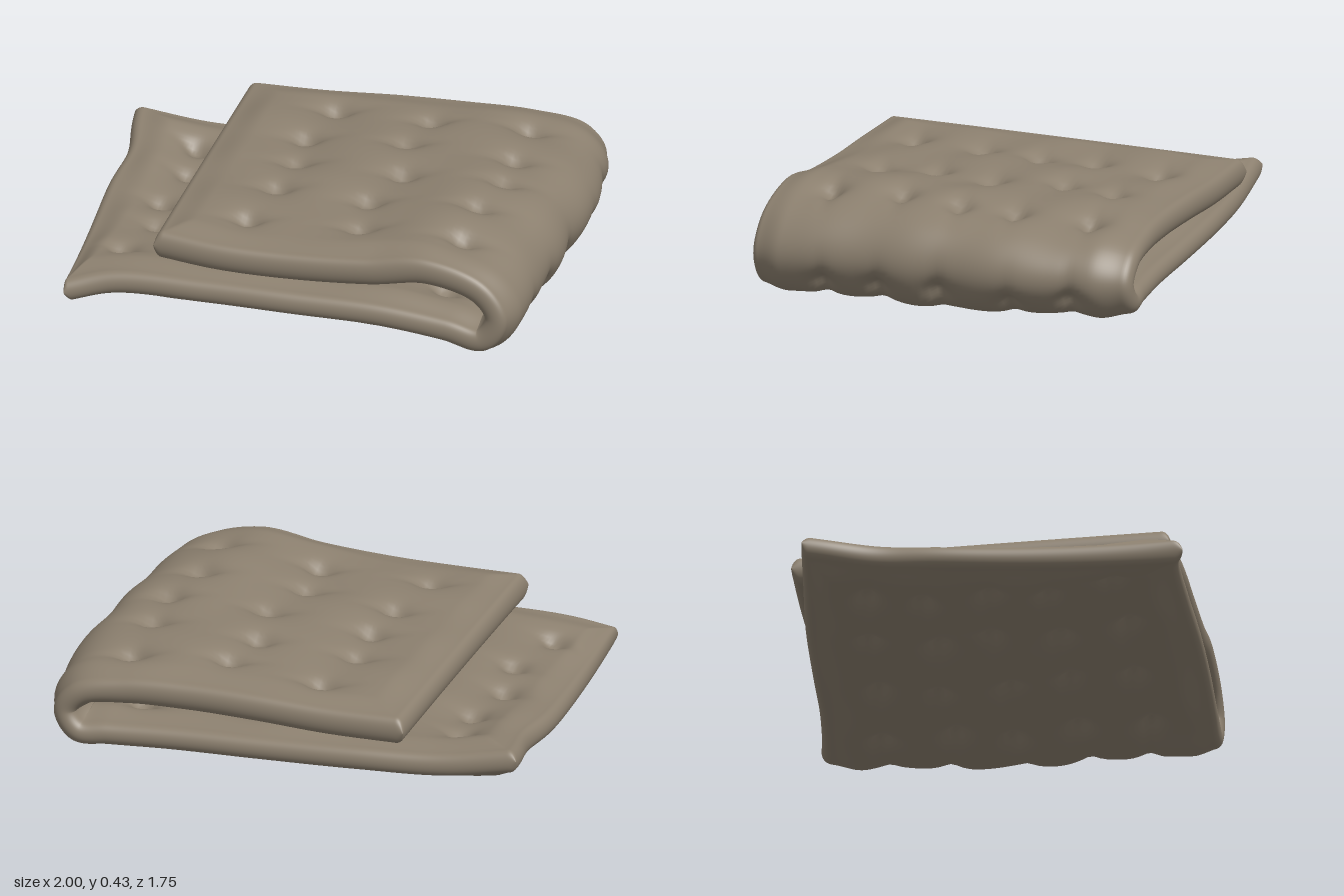
import * as THREE from 'three';
import { mergeVertices } from 'three/addons/utils/BufferGeometryUtils.js';

// Mid-surface of the folded sheet: each curve runs from the lower left hem,
// around the fold on the right, back to the upper left hem.
const curve = (pts) => new THREE.CatmullRomCurve3(pts.map((p) => new THREE.Vector3(...p)));

const backHem = curve([
  [-1, 0.185, -0.61], [-0.7, 0.135, -0.66], [-0.35, 0.125, -0.72], [0.05, 0.12, -0.77],
  [0.4, 0.115, -0.81], [0.65, 0.11, -0.85], [0.77, 0.11, -0.875], [0.82, 0.19, -0.875],
  [0.76, 0.265, -0.87], [0.57, 0.295, -0.84], [0.32, 0.3, -0.81], [0.05, 0.295, -0.79],
  [-0.25, 0.28, -0.765], [-0.57, 0.28, -0.735]]);
const middle = curve([
  [-0.905, 0.115, 0.08], [-0.6, 0.1, 0.06], [-0.25, 0.11, 0.04], [0.1, 0.1, 0.02],
  [0.45, 0.105, 0], [0.72, 0.09, -0.02], [0.86, 0.095, -0.02], [0.915, 0.19, -0.02],
  [0.86, 0.285, -0.02], [0.66, 0.345, -0.02], [0.42, 0.335, -0.01], [0.1, 0.318, 0],
  [-0.2, 0.307, 0], [-0.515, 0.3, 0]]);
const frontHem = curve([
  [-0.79, 0.115, 0.87], [-0.62, 0.16, 0.82], [-0.25, 0.163, 0.79], [0.1, 0.16, 0.77],
  [0.45, 0.15, 0.74], [0.72, 0.115, 0.715], [0.87, 0.085, 0.705], [0.93, 0.18, 0.7],
  [0.86, 0.285, 0.7], [0.64, 0.35, 0.71], [0.4, 0.317, 0.725], [0.1, 0.3, 0.745],
  [-0.2, 0.302, 0.76], [-0.46, 0.32, 0.75]]);

// Point on the mid-surface, u in 0..1 around the fold, v in -1..1 back to front
function mid(u, v) {
  const p = backHem.getPoint(u).multiplyScalar(v * (v - 1) / 2)
    .addScaledVector(middle.getPoint(u), 1 - v * v)
    .addScaledVector(frontHem.getPoint(u), v * (v + 1) / 2);
  // Shift just inside the back corners, which leaves them pointed
  p.x += Math.exp(-(((v + 0.55) / 0.25) ** 2))
    * (0.03 * Math.exp(-25 * u) + 0.025 * Math.exp(-(((u - 0.54) / 0.08) ** 2)));
  return p;
}

function normalAt(u, v) {
  const e = 0.004;
  const du = mid(Math.min(u + e, 1), v).sub(mid(Math.max(u - e, 0), v));
  const dv = mid(u, Math.min(v + e, 1)).sub(mid(u, Math.max(v - e, -1)));
  return du.cross(dv).normalize();
}

// Quilting stitches: columns along the fold (position, shift), five rows in each
const columns = [[0.9, 0.09], [2.05, 0.07], [3.25, 0.05], [4.6, 0.03],
  [6.35, 0.01], [8.85, 0.04], [10.45, 0.05], [11.8, 0.05]];
const stitches = [];
columns.forEach(([c, shift], i) => {
  [-0.74, -0.42, -0.1, 0.23, 0.58].forEach((row, k) => {
    const u = (c + 0.1 * Math.sin(i * 5.1 + k * 2.7)) / 13;
    stitches.push(mid(u, row + shift + 0.025 * Math.sin(i * 3.3 + k * 4.1)));
  });
});

// How deep the padding is pulled in by the stitches near p
function pull(p, side) {
  let sum = 0;
  for (const s of stitches) {
    const dx = p.x - s.x, dy = p.y - s.y, dz = p.z - s.z;
    const d2 = dx * dx + dy * dy * 2 + dz * dz;
    if (d2 > 0.12) continue;
    const crease = dz + 0.25 * dx * side;
    sum += 0.03 * Math.exp(-d2 / 0.0025) + 0.018 * Math.exp(-d2 / 0.014)
      + 0.014 * Math.exp(-dx * dx / 0.012 - crease * crease / 0.0008 - dy * dy / 0.004);
  }
  return Math.min(sum, 0.058);
}

const round = (d, r) => Math.sqrt(Math.max(0, 1 - (1 - Math.min(d / r, 1)) ** 2));

// Padding thickness on one side of the mid-surface
function padding(u, v, p, side) {
  const du = 3.9 * Math.min(u, 1 - u), dv = 0.77 * (1 - Math.abs(v));
  const edge = round(du, 0.035) * round(dv, 0.035);
  const puff = THREE.MathUtils.smoothstep(Math.min(du, dv), 0.02, 0.15);
  const hem = 0.045 + 0.01 * THREE.MathUtils.smoothstep(u, 0.55, 0.75);
  const wave = 0.005 * Math.sin(9 * p.x + 5 * p.z + side) + 0.004 * Math.sin(17 * p.z - 6 * p.x);
  return edge * THREE.MathUtils.lerp(hem, 0.077 + wave - pull(p, side), puff);
}

// Closed skin: outer and inner faces meeting along the rounded hems
function quiltGeometry(nu, nv) {
  const pos = [], index = [];
  for (const side of [1, -1]) {
    const base = pos.length / 3;
    for (let i = 0; i <= nu; i++) {
      const u = 0.5 - 0.5 * Math.cos(Math.PI * i / nu);
      for (let j = 0; j <= nv; j++) {
        const v = -Math.cos(Math.PI * j / nv);
        const p = mid(u, v);
        const h = padding(u, v, p, side);
        p.addScaledVector(normalAt(u, v), side * h);
        pos.push(p.x, p.y, p.z);
        if (i === nu || j === nv) continue;
        const a = base + i * (nv + 1) + j, b = a + nv + 1;
        if (side > 0) index.push(a, b, a + 1, b, b + 1, a + 1);
        else index.push(a, a + 1, b, b, a + 1, b + 1);
      }
    }
  }
  let geo = new THREE.BufferGeometry();
  geo.setAttribute('position', new THREE.Float32BufferAttribute(pos, 3));
  geo.setIndex(index);
  geo = mergeVertices(geo, 1e-5);
  geo.computeVertexNormals();
  geo.computeBoundingBox();
  geo.translate(0, -geo.boundingBox.min.y, 0);
  return geo;
}

export function createModel() {
  const group = new THREE.Group();
  group.name = 'foldedQuilt';
  const cloth = new THREE.MeshStandardMaterial({ color: 0x8c806f });
  cloth.name = 'taupe cloth';
  const quilt = new THREE.Mesh(quiltGeometry(220, 100), cloth);
  quilt.name = 'quilt';
  group.add(quilt);
  return group;
}
